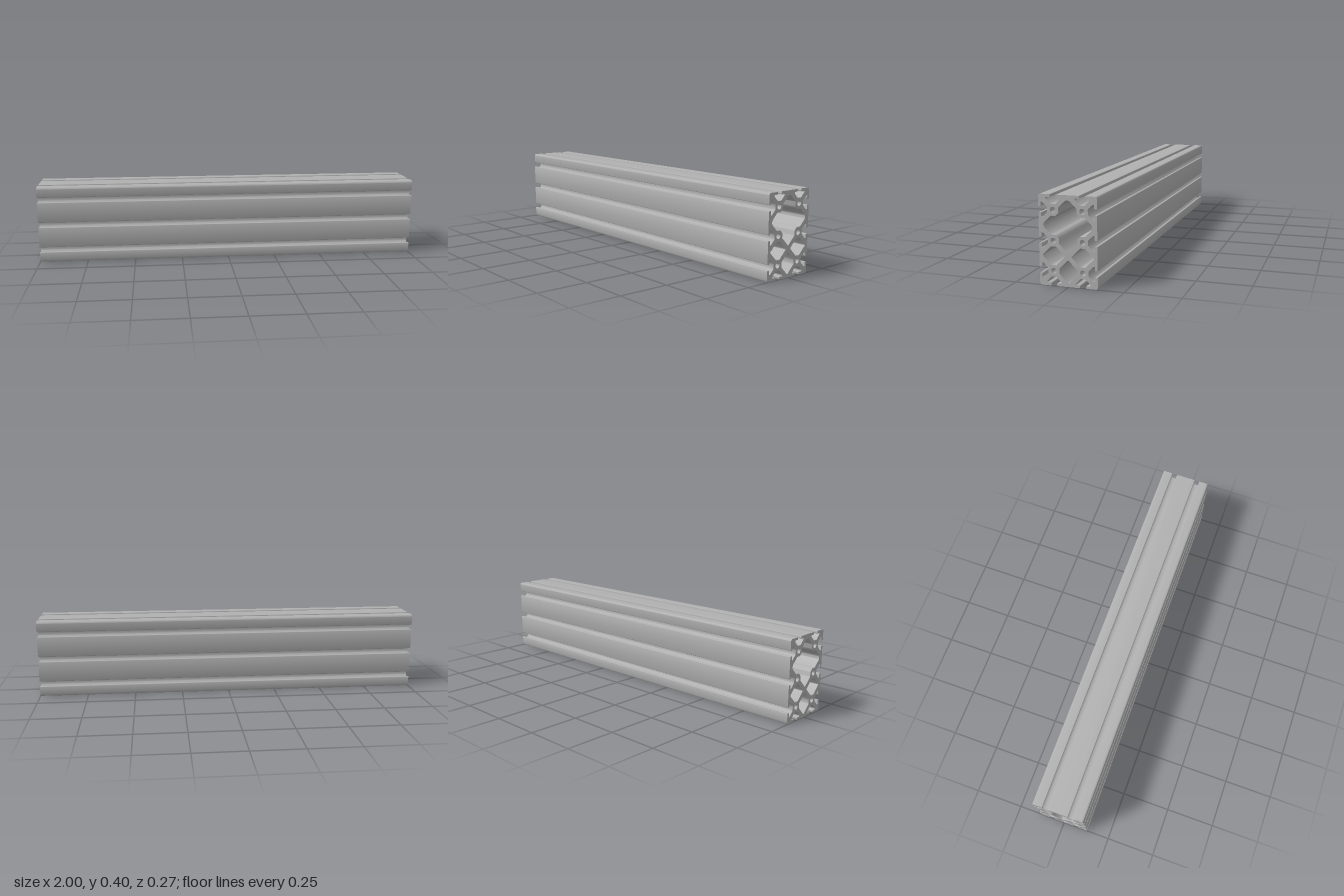
import * as THREE from 'three';
import { toCreasedNormals } from 'three/addons/utils/BufferGeometryUtils.js';

const CELL = 0.4 / 3;      // slot pitch
const HALF = CELL / 2;
const CORE = 0.0255;       // half width of the block around each bore
const WEB = 0.0143;        // offset of the diagonal web faces from the diagonal
const FLAT = CORE - WEB;   // half width of the flats left on each block
const WALL = HALF - CORE;  // depth from the outer face to the block

// Closed path through [x, y, radius] corners, each rounded by its radius
function rounded(path, pts) {
  const n = pts.length;
  const v = pts.map(p => new THREE.Vector2(p[0], p[1]));
  for (let i = 0; i < n; i++) {
    const p = v[i];
    const a = v[(i + n - 1) % n].clone().sub(p).normalize();
    const b = v[(i + 1) % n].clone().sub(p).normalize();
    const r = pts[i][2] || 0;
    const t = r / Math.tan(Math.acos(THREE.MathUtils.clamp(a.dot(b), -1, 1)) / 2);
    const s = p.clone().addScaledVector(a, t);
    const e = p.clone().addScaledVector(b, t);
    if (i === 0) path.moveTo(s.x, s.y); else path.lineTo(s.x, s.y);
    if (r > 0) {
      const c1 = p.clone().addScaledVector(a, t * 0.45);
      const c2 = p.clone().addScaledVector(b, t * 0.45);
      path.bezierCurveTo(c1.x, c1.y, c2.x, c2.y, e.x, e.y);
    }
  }
  path.closePath();
  return path;
}

// Outer contour with a T-slot in every cell of all four sides
function outline() {
  const half = [
    [0.0135, 0, 0.0025], [0.0135, 0.0122, 0.0025], [0.033, 0.0122, 0.002],
    [0.033, 0.0192, 0.004], [FLAT, WALL, 0.002],
  ];
  const slot = [
    ...half.map(([u, d, r]) => [-u, d, r]),
    ...half.slice().reverse(),
  ];
  const sides = [
    { start: [-CELL, 0], dir: [1, 0], cells: 2 },
    { start: [CELL, 0], dir: [0, 1], cells: 3 },
    { start: [CELL, 3 * CELL], dir: [-1, 0], cells: 2 },
    { start: [-CELL, 3 * CELL], dir: [0, -1], cells: 3 },
  ];
  const pts = [];
  for (const { start: [x, y], dir: [dx, dy], cells } of sides) {
    pts.push([x, y, 0.01]);
    for (let i = 0; i < cells; i++) {
      for (const [u, d, r] of slot) {
        const s = (i + 0.5) * CELL + u;
        pts.push([x + dx * s - dy * d, y + dy * s + dx * d, r]);
      }
    }
  }
  return rounded(new THREE.Shape(), pts);
}

// Six-sided chamber between webs, with its points along x or along y
function chamber(cx, cy, upright) {
  const tip = HALF - WEB;
  const pts = [
    [tip, 0, 0.004], [FLAT, WALL, 0.002], [-FLAT, WALL, 0.002],
    [-tip, 0, 0.004], [-FLAT, -WALL, 0.002], [FLAT, -WALL, 0.002],
  ].map(([a, b, r]) => (upright ? [cx + b, cy + a, r] : [cx + a, cy + b, r]));
  return rounded(new THREE.Path(), pts);
}

// Large open chamber filling the upper two rows
function largeChamber() {
  const top = 2.5 * CELL, mid = 1.5 * CELL;
  const side = [
    [WALL, top + FLAT, 0.004], [WALL, top - FLAT, 0.002],
    [HALF - FLAT, top - CORE, 0.002], [HALF + FLAT, top - CORE, 0.004],
    [CELL - WEB, 2 * CELL, 0.0194],
    [HALF + FLAT, mid + CORE, 0.004], [HALF - FLAT, mid + CORE, 0.002],
    [WALL, mid + FLAT, 0.002], [WALL, mid - FLAT, 0.002],
  ];
  return rounded(new THREE.Path(), [
    [0, 3 * CELL - WEB, 0.0194],
    ...side,
    [0, CELL + WEB, 0.002],
    ...side.slice().reverse().map(([x, y, r]) => [-x, y, r]),
  ]);
}

export function createModel() {
  const group = new THREE.Group();
  group.name = 'slottedProfile';
  const aluminium = new THREE.MeshStandardMaterial({ color: 0xb0b0b0 });
  aluminium.name = 'aluminium grey';

  const section = outline();
  section.holes.push(
    largeChamber(),
    chamber(HALF, CELL, false),
    chamber(-HALF, CELL, false),
    chamber(0, HALF, true),
  );
  // Round bores through the six blocks
  for (const x of [-HALF, HALF]) {
    for (let row = 0; row < 3; row++) {
      section.holes.push(new THREE.Path().absarc(x, (row + 0.5) * CELL, 0.0125, 0, Math.PI * 2, true));
    }
  }

  // Sweep the section along x
  const geometry = new THREE.ExtrudeGeometry(section, { depth: 2, bevelEnabled: false, curveSegments: 10 });
  geometry.translate(0, 0, -1);
  geometry.rotateY(Math.PI / 2);
  const beam = new THREE.Mesh(toCreasedNormals(geometry, 0.5), aluminium);
  beam.name = 'extrudedBeam';
  group.add(beam);
  return group;
}
